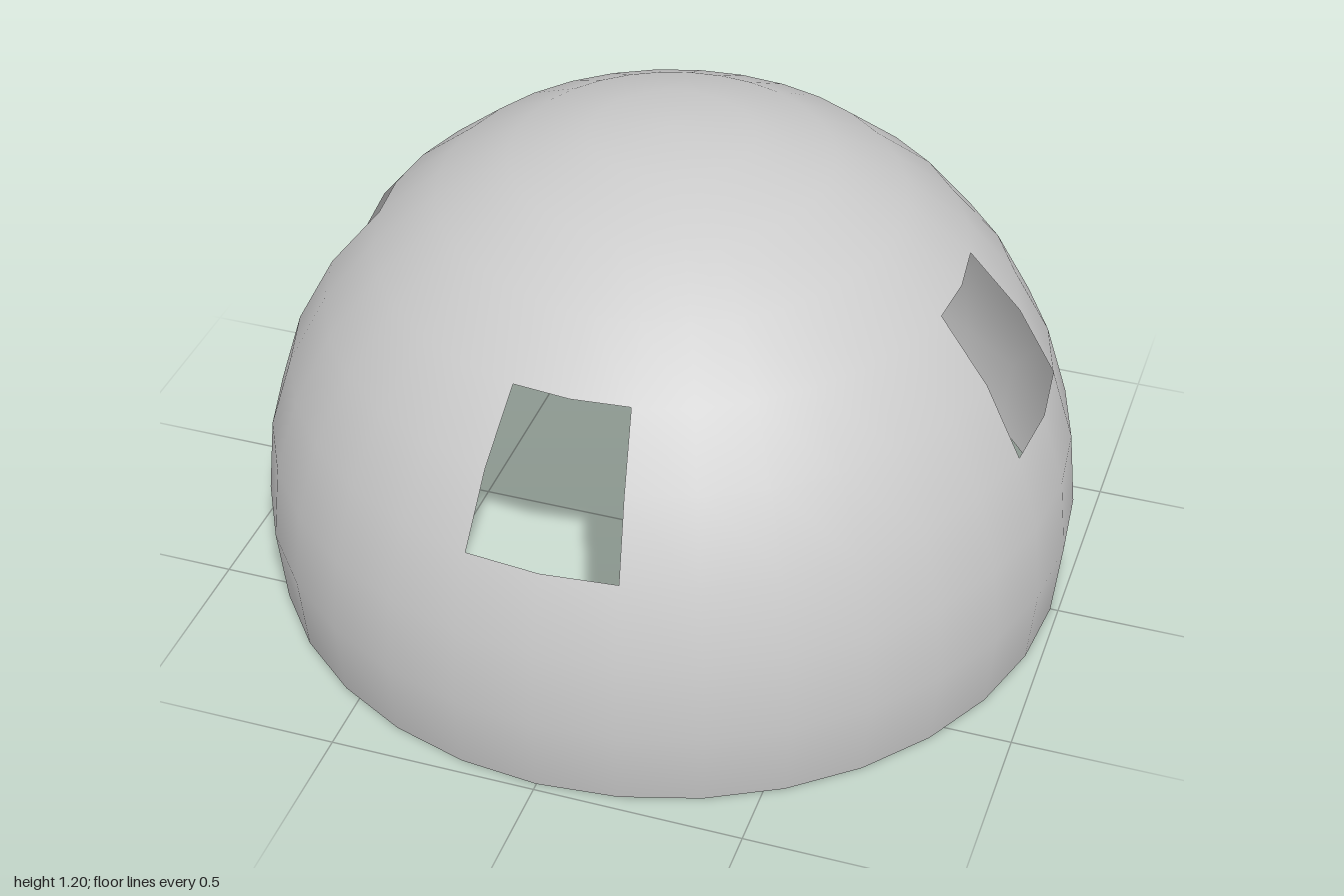
import * as THREE from 'three';

// Angular size of one facet: 32 around, 16 from pole to pole
const STEP = Math.PI / 16;

export function createModel() {
  const group = new THREE.Group();
  group.name = 'dome';
  const material = new THREE.MeshStandardMaterial({ color: 0xcccccc, side: THREE.DoubleSide });

  // Patch of the unit spherical shell, measured in whole facets
  function addPatch(name, phiStart, phiCount, thetaStart, thetaCount) {
    const geometry = new THREE.SphereGeometry(
      1, phiCount, thetaCount,
      phiStart * STEP, phiCount * STEP, thetaStart * STEP, thetaCount * STEP
    );
    const mesh = new THREE.Mesh(geometry, material);
    mesh.name = name;
    mesh.position.y = Math.sin(STEP); // open rim, one facet below the equator, rests on y = 0
    group.add(mesh);
  }

  // Closed cap above the windows
  addPatch('crown', 0, 32, 0, 4);

  // Four wall sections, leaving a two-facet window on each side
  for (let i = 0; i < 4; i++) addPatch('wallBetweenWindows' + (i + 1), i * 8 + 1, 6, 4, 2);

  // Full band from the window sills down to the open rim
  addPatch('lowerWall', 0, 32, 6, 3);

  return group;
}
